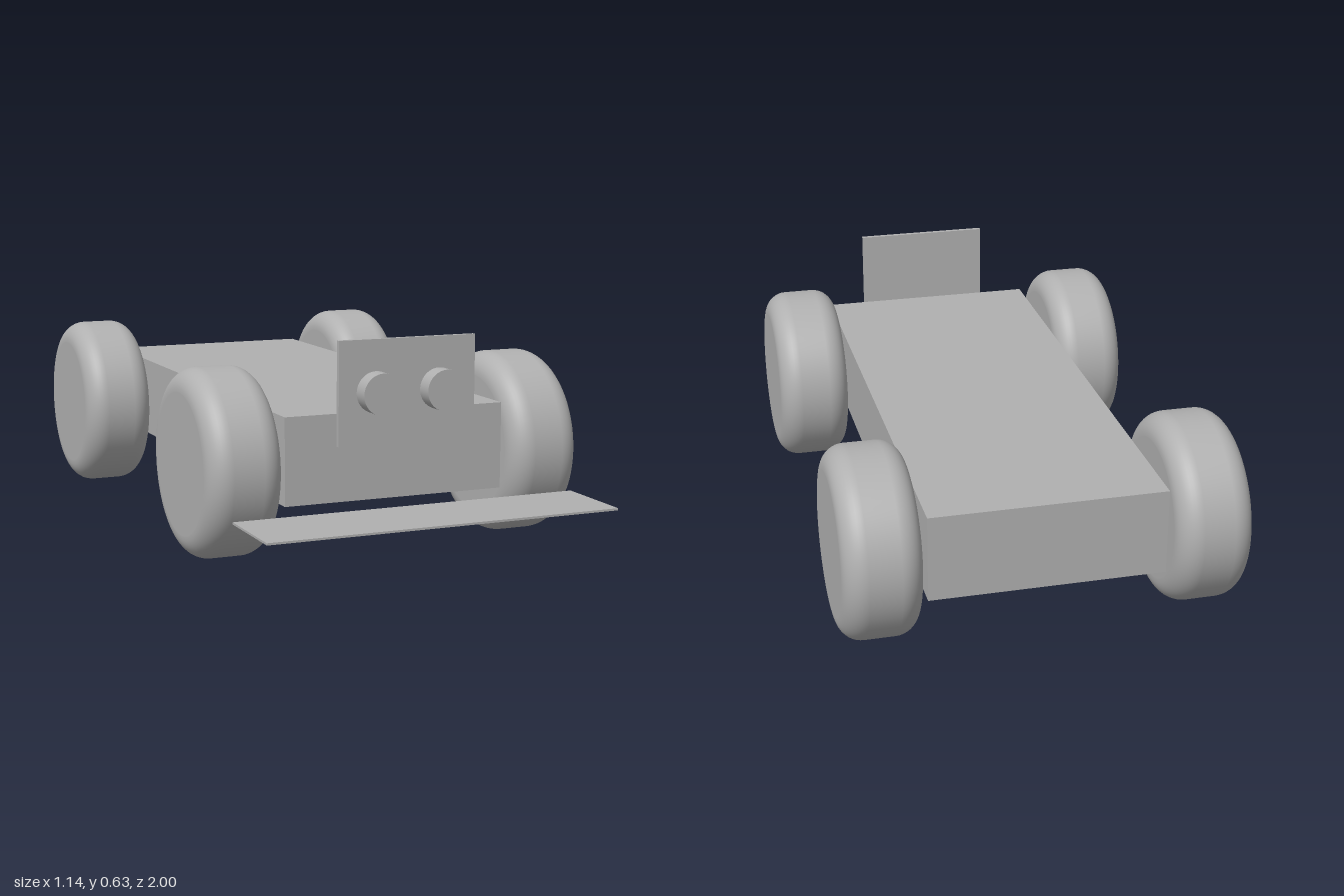
import * as THREE from 'three';

export function createModel() {
  const group = new THREE.Group();
  const grey = new THREE.MeshStandardMaterial({ color: 0xb0b0b0 });
  grey.name = 'plain grey';

  function add(name, geometry, x, y, z) {
    const mesh = new THREE.Mesh(geometry, grey);
    mesh.name = name;
    mesh.position.set(x, y, z);
    group.add(mesh);
    return mesh;
  }

  // Body, front panel and low front plate
  add('chassis', new THREE.BoxGeometry(0.67, 0.25, 1.586), 0, 0.295, -0.13);
  add('frontPanel', new THREE.BoxGeometry(0.414, 0.292, 0.014), 0, 0.486, 0.73);
  add('frontPlate', new THREE.BoxGeometry(1.04, 0.006, 0.25), 0, 0.16, 0.875);

  // Pair of round sensors on the panel
  const sensor = new THREE.CylinderGeometry(0.058, 0.058, 0.05, 48).rotateX(Math.PI / 2);
  for (const side of [-1, 1]) {
    add(side > 0 ? 'leftSensor' : 'rightSensor', sensor, side * 0.096, 0.486, 0.762);
  }

  // Wheel: disc with rounded shoulders, turned about the x axis
  const radius = 0.27, half = 0.109, fillet = 0.065, steps = 10;
  const profile = [new THREE.Vector2(0, -half), new THREE.Vector2(radius - fillet - 0.003, -half)];
  for (const side of [-1, 1]) {
    for (let i = 0; i <= steps; i++) {
      const a = (side < 0 ? i / steps - 1 : i / steps) * Math.PI / 2;
      profile.push(new THREE.Vector2(
        radius - fillet + fillet * Math.cos(a),
        side * (half - fillet) + fillet * Math.sin(a)));
    }
  }
  profile.push(new THREE.Vector2(radius - fillet - 0.003, half), new THREE.Vector2(0, half));
  const wheel = new THREE.LatheGeometry(profile, 64).rotateZ(Math.PI / 2);

  for (const [end, z] of [['front', 0.457], ['rear', -0.73]]) {
    for (const side of [-1, 1]) {
      add(end + (side > 0 ? 'LeftWheel' : 'RightWheel'), wheel, side * 0.46, radius, z);
    }
  }
  return group;
}
